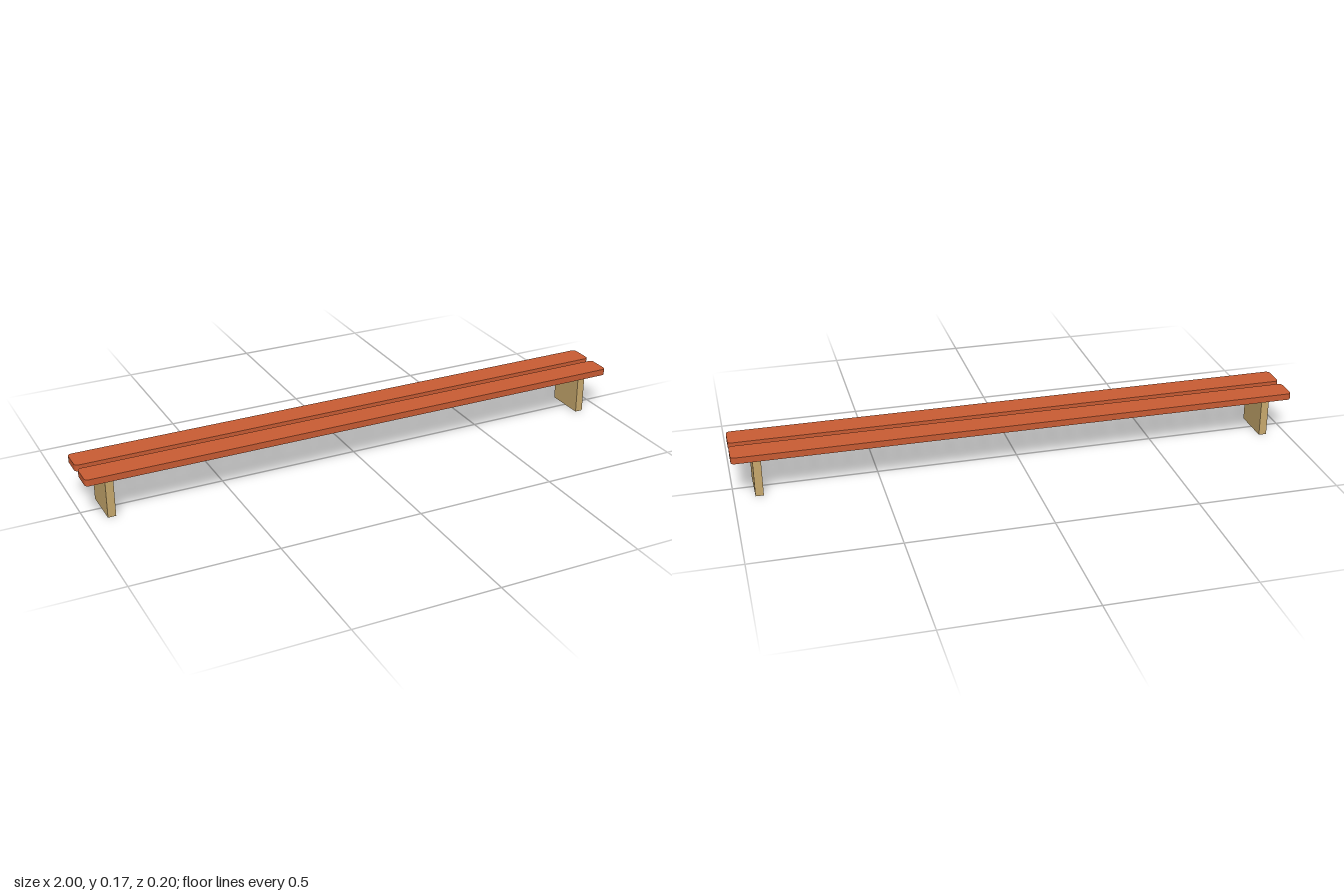
import * as THREE from 'three';

const redWood = new THREE.MeshStandardMaterial({ color: 0xc95c33 });
redWood.name = 'redWood';
const paleWood = new THREE.MeshStandardMaterial({ color: 0xc8a96e });
paleWood.name = 'paleWood';

// Flat board with rounded corners in plan
function boardGeometry(length, width, thickness, radius) {
  const x = length / 2, y = width / 2, r = radius;
  const shape = new THREE.Shape();
  shape.moveTo(-x + r, -y);
  shape.lineTo(x - r, -y);
  shape.absarc(x - r, -y + r, r, -Math.PI / 2, 0);
  shape.lineTo(x, y - r);
  shape.absarc(x - r, y - r, r, 0, Math.PI / 2);
  shape.lineTo(-x + r, y);
  shape.absarc(-x + r, y - r, r, Math.PI / 2, Math.PI);
  shape.lineTo(-x, -y + r);
  shape.absarc(-x + r, -y + r, r, Math.PI, Math.PI * 1.5);
  const geometry = new THREE.ExtrudeGeometry(shape, { depth: thickness, bevelEnabled: false, curveSegments: 6 });
  return geometry.rotateX(-Math.PI / 2);
}

export function createModel() {
  const bench = new THREE.Group();
  bench.name = 'bench';

  const plank = boardGeometry(2, 0.09, 0.023, 0.014);
  const leg = new THREE.BoxGeometry(0.028, 0.155, 0.144);

  for (const side of [1, -1]) {
    // Seat planks, with a narrow gap between them
    const seatPlank = new THREE.Mesh(plank, redWood);
    seatPlank.name = side > 0 ? 'frontPlank' : 'backPlank';
    seatPlank.position.set(0, 0.145, side * 0.057);
    bench.add(seatPlank);

    // Panel legs, let slightly into the gap
    const panel = new THREE.Mesh(leg, paleWood);
    panel.name = side > 0 ? 'leftLeg' : 'rightLeg';
    panel.position.set(side * 0.914, 0.0775, 0);
    bench.add(panel);
  }
  return bench;
}
